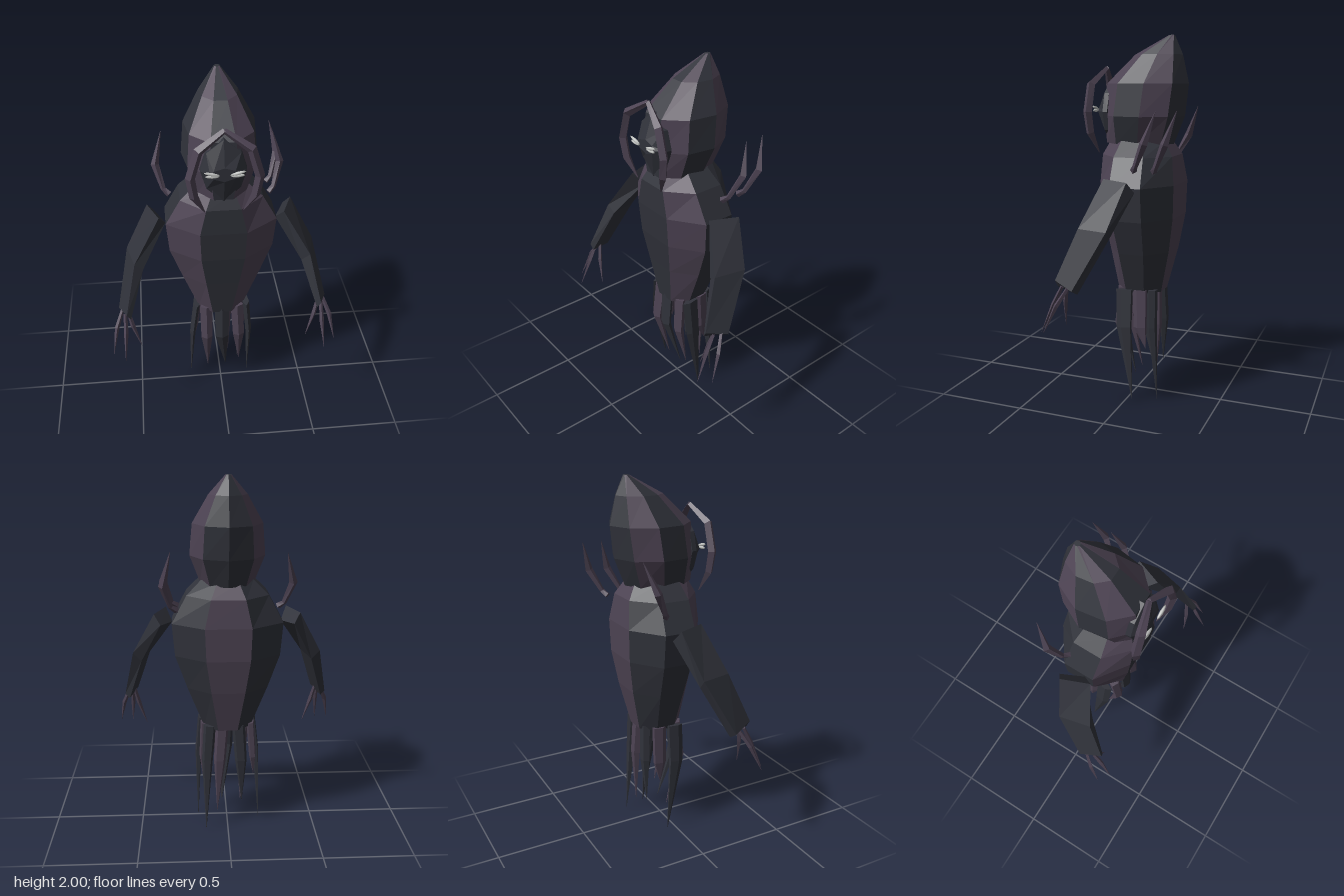
import * as THREE from 'three';

const V = (p) => new THREE.Vector3(...p);

export function createModel() {
  const group = new THREE.Group();
  const material = (name, color) => {
    const m = new THREE.MeshStandardMaterial({ color });
    m.name = name;
    return m;
  };
  const slate = material('dark slate', 0x30323a);
  const plum = material('dusky plum', 0x4d4353);
  const pale = material('pale grey', 0xc2c4c2);

  // Skins a stack of rings (counter-clockwise about the stacking direction), faceted;
  // facets listed in "striped" (counted from the front one) take the second material
  function loft(name, rings, matA, matB, striped = []) {
    const n = rings[0].length, sets = [[], []];
    const tri = (s, ...ps) => ps.forEach((p) => sets[s].push(p.x, p.y, p.z));
    for (let k = 0; k < n; k++) {
      const j = (k + 1) % n;
      const s = striped.includes(Math.min(k + 1, n - 1 - k)) ? 1 : 0;
      for (let i = 0; i + 1 < rings.length; i++) {
        const [a, b, c, d] = [rings[i][k], rings[i][j], rings[i + 1][j], rings[i + 1][k]];
        tri(s, a, b, c);
        tri(s, a, c, d);
      }
    }
    const cap = (r, flip) => {
      const mid = r.reduce((t, p) => t.add(p), V([0, 0, 0])).divideScalar(n);
      r.forEach((p, k) => {
        const q = r[(k + 1) % n];
        flip ? tri(0, mid, q, p) : tri(0, mid, p, q);
      });
    };
    cap(rings[0], true);
    cap(rings[rings.length - 1], false);
    const geo = new THREE.BufferGeometry();
    geo.setAttribute('position', new THREE.Float32BufferAttribute([...sets[0], ...sets[1]], 3));
    const countA = sets[0].length / 3, countB = sets[1].length / 3;
    geo.addGroup(0, countA, 0);
    if (countB) geo.addGroup(countA, countB, 1);
    geo.computeVertexNormals();
    const mesh = new THREE.Mesh(geo, matB ? [matA, matB] : matA);
    mesh.name = name;
    group.add(mesh);
  }

  // Horizontal ring with a flat facet at the front
  function ring(n, [y, halfWidth, front, back]) {
    const angles = Array.from({ length: n }, (_, k) => ((k + 0.5) / n) * Math.PI * 2);
    const maxS = Math.max(...angles.map(Math.sin));
    const maxC = Math.max(...angles.map(Math.cos)), minC = Math.min(...angles.map(Math.cos));
    return angles.map((a) => V([
      (halfWidth * Math.sin(a)) / maxS, y,
      back + ((front - back) * (Math.cos(a) - minC)) / (maxC - minC),
    ]));
  }

  // Tapering limb through a few points; "wide" scales its sideways thickness
  function spike(name, points, radii, mat, wide = 1, sides = 4) {
    const ps = points.map(V);
    const rings = ps.map((p, i) => {
      const dir = ps[Math.min(i + 1, ps.length - 1)].clone().sub(ps[Math.max(i - 1, 0)]).normalize();
      const u = V([0, 0, 1]).addScaledVector(dir, -dir.z).normalize();
      const v = dir.clone().cross(u).multiplyScalar(wide);
      return Array.from({ length: sides }, (_, k) => {
        const a = (k / sides) * Math.PI * 2;
        return p.clone().addScaledVector(u, radii[i] * Math.cos(a)).addScaledVector(v, radii[i] * Math.sin(a));
      });
    });
    loft(name, rings, mat);
  }

  // Striped body and hood: [y, half width, front z, back z]
  loft('body', [
    [0.61, 0.13, 0.09, -0.16], [0.85, 0.22, 0.125, -0.215], [1.04, 0.285, 0.155, -0.245],
    [1.22, 0.3, 0.17, -0.25], [1.37, 0.22, 0.168, -0.23], [1.45, 0.14, 0.13, -0.18],
  ].map((r) => ring(8, r)), slate, plum, [1, 4]);
  loft('hood', [
    [1.43, 0.145, 0.16, -0.21], [1.58, 0.2, 0.17, -0.27], [1.75, 0.185, 0.15, -0.29],
    [1.9, 0.1, 0, -0.255], [2, 0.015, -0.18, -0.21],
  ].map((r) => ring(9, r)), slate, plum, [1, 3]);

  // Faceted mask at the hood's front
  const outline = [[0, 1.77], [-0.09, 1.7], [-0.12, 1.6], [-0.09, 1.5], [0, 1.42],
    [0.09, 1.5], [0.12, 1.6], [0.09, 1.7]];
  loft('mask', [
    outline.map(([x, y]) => V([x, y, 0.13])),
    outline.map(([x, y]) => V([x * 0.97, y, 0.158])),
    outline.map(([x, y]) => V([x * 0.6, 1.6 + (y - 1.6) * 0.22, 0.203])),
  ], slate);

  for (const s of [1, -1]) {
    const side = (pts) => pts.map(([x, y, z]) => [s * x, y, z]);

    // Slit eyes, each a pair of slender blades
    for (const [y, tilt, length] of [[1.617, 0.25, 0.042], [1.604, 0.05, 0.036]]) {
      const eye = new THREE.Mesh(new THREE.OctahedronGeometry(1, 1), pale);
      eye.name = 'eye';
      eye.scale.set(length, 0.009, 0.009);
      eye.position.set(s * 0.064, y, 0.22);
      eye.rotation.z = s * tilt;
      group.add(eye);
    }

    // Curved mandibles framing the face
    spike('mandible', side([[0, 1.83, 0.18], [0.13, 1.745, 0.217], [0.172, 1.6, 0.22],
      [0.155, 1.49, 0.213], [0.1, 1.38, 0.185]]), [0.014, 0.025, 0.025, 0.023, 0.003], plum);

    // Arms: corners inner front, outer front, outer back, inner back, from wrist to shoulder
    const arm = [
      [[0.52, 0.73, 0.24], [0.54, 0.765, 0.245], [0.587, 0.73, 0.13], [0.56, 0.71, 0.11]],
      [[0.435, 0.99, 0.13], [0.48, 1.03, 0.14], [0.52, 1.03, -0.03], [0.475, 0.98, -0.025]],
      [[0.3, 1.2, 0.0], [0.335, 1.27, 0.06], [0.395, 1.265, -0.09], [0.36, 1.21, -0.12]],
    ].map((r) => side(r).map(V));
    if (s < 0) arm.forEach((r) => r.reverse());
    loft('arm', arm, slate);

    // Three claws on each hand
    const claws = [
      [[0.535, 0.74, 0.18], [0.515, 0.65, 0.2], [0.472, 0.51, 0.22]],
      [[0.55, 0.74, 0.2], [0.553, 0.64, 0.25], [0.565, 0.49, 0.315]],
      [[0.565, 0.74, 0.16], [0.603, 0.65, 0.21], [0.63, 0.51, 0.27]],
    ];
    claws.forEach((c) => spike('claw', side(c), [0.01, 0.013, 0.001], plum));
  }

  // Bent shoulder spines, two on the left and one on the right
  for (const [s, z, tip] of [[1, -0.08, -0.21], [1, -0.19, -0.32], [-1, -0.11, -0.255]]) {
    spike('shoulderSpine', [[s * 0.27, 1.31, z], [s * 0.3, 1.335, z - 0.02],
      [s * 0.338, 1.455, z - 0.08], [s * 0.297, 1.62, tip]], [0.018, 0.014, 0.022, 0.001], plum);
  }

  // Ragged tendrils: base x, z; knee x, z; tip; depth radius; sideways scale
  const tendrils = [
    [0, 0.07, 0, 0.085, [0.03, 0.1, 0], 0.025, 1.8, slate],
    [0.09, 0.05, 0.1, 0.07, [0.11, 0.16, 0.02], 0.03, 1.3, plum],
    [0.145, 0.02, 0.165, 0.015, [0.17, 0, -0.03], 0.052, 0.4, slate],
    [0.13, -0.065, 0.14, -0.07, [0.14, 0.3, -0.1], 0.045, 0.5, plum],
    [0.1, -0.125, 0.115, -0.13, [0.125, 0, -0.165], 0.03, 1.2, slate],
    [0.03, -0.125, 0.045, -0.135, [0.06, 0.1, -0.13], 0.03, 1.3, plum],
    [-0.06, -0.125, -0.075, -0.135, [-0.08, 0.16, -0.13], 0.03, 1.3, slate],
    [-0.13, -0.075, -0.145, -0.08, [-0.15, 0.3, -0.08], 0.045, 0.5, plum],
    [-0.145, 0.015, -0.17, 0.01, [-0.185, 0, -0.05], 0.05, 0.4, slate],
    [-0.09, 0.05, -0.09, 0.08, [-0.08, 0.1, 0], 0.03, 1.3, plum],
  ];
  for (const [bx, bz, kx, kz, tip, r, wide, mat] of tendrils) {
    spike('tendril', [[bx, 0.63, bz], [kx, 0.42, kz], tip], [r, r * 0.9, 0.001], mat, wide, 5);
  }

  return group;
}
